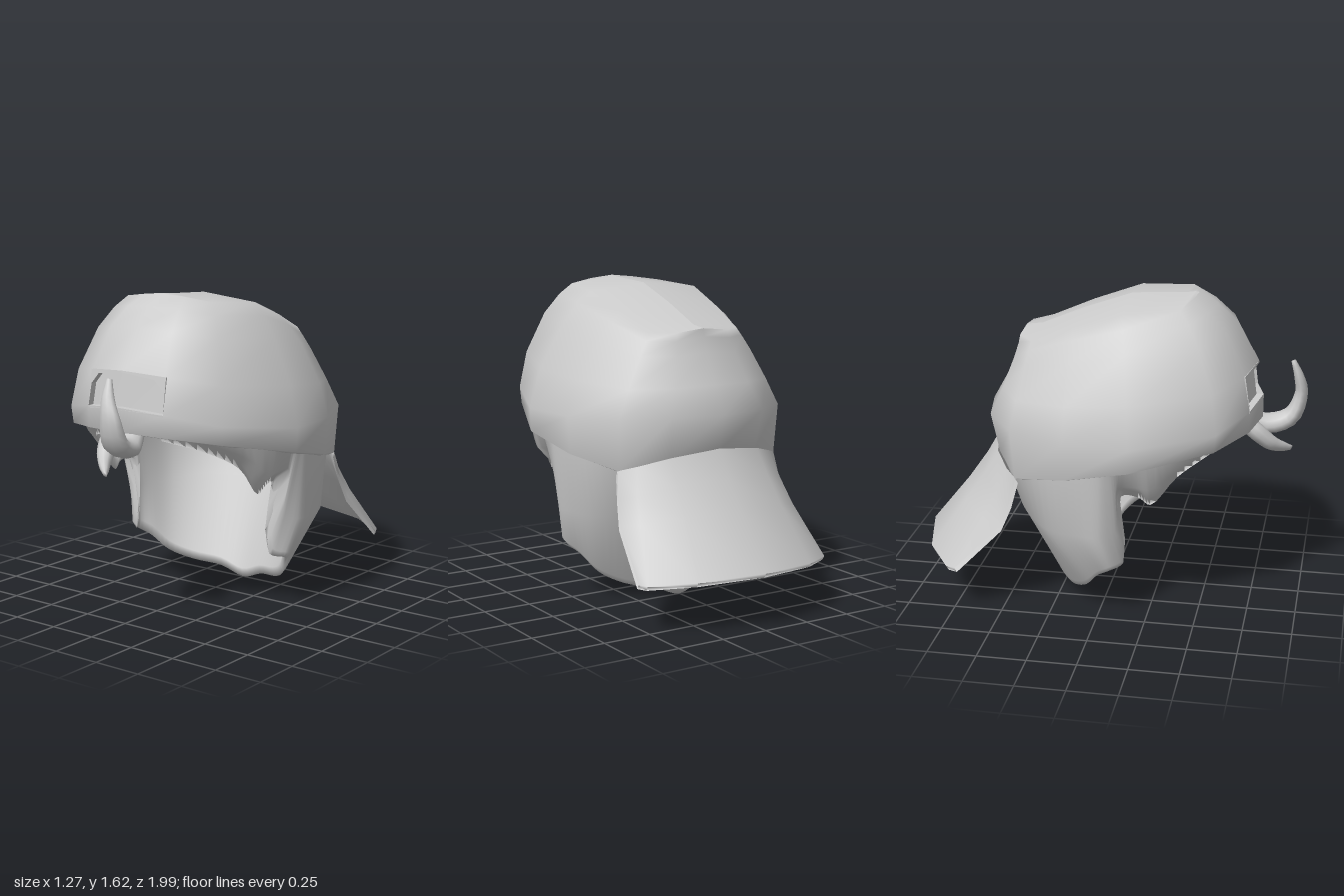
import * as THREE from 'three';

const material = new THREE.MeshStandardMaterial({ color: 0xcccccc, side: THREE.DoubleSide });

// Surface through rows of [x, y, z] points; skip(row, column) leaves a quad open
function loft(rows, closed, skip = () => false) {
  const n = rows[0].length, index = [];
  for (let r = 0; r < rows.length - 1; r++) {
    for (let c = 0; c < (closed ? n : n - 1); c++) {
      if (skip(r, c)) continue;
      const d = (c + 1) % n;
      const a = r * n + c, b = r * n + d, e = a + n, f = b + n;
      index.push(a, e, b, b, e, f);
    }
  }
  const g = new THREE.BufferGeometry();
  g.setAttribute('position', new THREE.Float32BufferAttribute(rows.flat(2), 3));
  g.setIndex(index);
  g.computeVertexNormals();
  return g;
}

const flip = ([x, y, z]) => [-x, y, z];
// Half rows run from the back centre forward on +x
const ringRow = (h) => [...h, ...h.slice(1, -1).reverse().map(flip)];
const openRow = (h) => [...h.slice(1).reverse().map(flip), ...h];
const lerp = THREE.MathUtils.lerp;

// Smooth curve through a row, with extra points between the given ones
function smoothRow(points, per) {
  const curve = new THREE.CatmullRomCurve3(points.map((p) => new THREE.Vector3(...p)));
  return curve.getPoints((points.length - 1) * per).map((p) => p.toArray());
}

function add(parent, name, geometry) {
  const mesh = new THREE.Mesh(geometry, material);
  mesh.name = name;
  parent.add(mesh);
}

function capDome() {
  const rim = [[0, .82, -.6], [.25, .79, -.55], [.47, .735, -.42], [.59, .79, -.15],
    [.63, .86, .18], [.475, .94, .58], [.235, .97, .73], [0, .98, .78]];
  const wide = [[0, 1, -.64], [.27, 1, -.59], [.48, .99, -.44], [.6, .98, -.15],
    [.635, .98, .18], [.48, 1.03, .59], [.235, 1.08, .73], [0, 1.1, .78]];
  const top = [[0, 1.41, -.455], [.15, 1.395, -.455], [.26, 1.395, -.37], [.29, 1.485, -.15],
    [.32, 1.57, .1], [.27, 1.59, .38], [.13, 1.61, .42], [0, 1.62, .44]];
  // Inward slope of the back, side and front at each height
  const levels = [[.34, .42, .17, .09], [.72, .8, .54, .41], [.9, .95, .8, .72]];
  const side = [0, 0, .5, 1, 1, 1.4, 2, 2];
  const middle = levels.map(([h, back, flank, front]) => wide.map((w, i) => {
    const s = side[i];
    const t = s < 1 ? lerp(back, flank, s) : lerp(flank, front, s - 1);
    return [lerp(w[0], top[i][0], t), lerp(w[1], top[i][1], h), lerp(w[2], top[i][2], t)];
  }));
  const lip = rim.map(([x, y, z]) => [x * .95, y - .012, z * .95]);
  const spine = top.map(([x, y, z]) => [0, y + .1 * x, z]);
  const rows = [lip, rim, wide, ...middle, top, spine].map(ringRow);
  return loft(rows, true, (r, c) => r === 2 && (c === 6 || c === 7));
}

// Bend a flat piece onto the front of the cap
function bendToCap(g) {
  const p = g.attributes.position;
  for (let i = 0; i < p.count; i++) {
    const x = p.getX(i), y = p.getY(i);
    p.setZ(i, p.getZ(i) + .78 - .21 * Math.abs(x) - .16 * Math.max(0, y - 1.09));
  }
  g.computeVertexNormals();
  return g;
}

function extrudePiece(points) {
  const shape = new THREE.Shape(points.map(([x, y]) => new THREE.Vector2(x, y)));
  const g = new THREE.ExtrudeGeometry(shape, { depth: .035, bevelEnabled: false });
  return bendToCap(g.translate(0, 0, -.035));
}

function visor() {
  const upper = [
    [[0, .83, -.605], [.26, .8, -.56], [.4, .76, -.48], [.475, .735, -.415]],
    [[0, .69, -.685], [.275, .67, -.635], [.43, .63, -.53], [.49, .6, -.45]],
    [[0, .54, -.79], [.29, .53, -.73], [.46, .5, -.6], [.51, .48, -.5]],
    [[0, .285, -.995], [.335, .27, -.915], [.53, .25, -.78], [.55, .25, -.73]],
  ];
  const lower = upper.map((row) => row.map(([x, y, z]) => [x, y - .022, z + .012])).reverse();
  return loft([...upper, ...lower, upper[0]].map(openRow), false);
}

function hair() {
  // Each column: top x, z, then the middle point, then the low outer point
  const columns = [
    [0, -.58, 0, .5, -.487, 0, .035, -.27],
    [.24, -.53, .2, .5, -.455, .14, .08, -.25],
    [.42, -.42, .37, .5, -.37, .29, .11, -.17],
    [.53, -.25, .5, .48, -.25, .4, .165, -.08],
    [.57, -.1, .55, .48, -.1, .47, .255, 0],
    [.59, .03, .56, .48, .02, .515, .305, .07],
    [.6, .09, .51, .5, .1, .46, .33, .13],
    [.6, .15, .55, .75, .12, .48, .7, .12],
    [.595, .22, .55, .76, .21, .48, .71, .21],
    [.58, .28, .54, .75, .28, .47, .67, .27],
    [.53, .42, .51, .84, .4, .45, .82, .4],
    [.43, .57, .41, .92, .55, .36, .91, .54],
    [.23, .69, .22, .97, .67, .18, .97, .67],
  ];
  const inset = ([x, y, z], k, dy) =>
    [x * k, y + dy, z + (1 - k) * .4 * THREE.MathUtils.clamp(-z / .25, 0, 1)];
  const half = columns.map(([tx, tz, mx, my, mz, lx, ly, lz], i) => {
    const top = [tx, .86 + .208 * tz, tz], mid = [mx, my, mz], low = [lx, ly, lz];
    const k = i > 7 ? .96 : .92;
    const innerTop = [tx * (k - .02), Math.max(.76, my + .03), tz * .94];
    return [top, mid, low, inset(low, k + .03, -.03), inset(low, k, .02), inset(mid, k, .02), innerTop];
  });
  const rows = half[0].map((_, r) => smoothRow(openRow(half.map((column) => column[r])), 4));
  return loft(rows, false);
}

// Tapered lock with an oval section; radii are [across, thickness]
function lock(path, radii) {
  const curve = new THREE.CatmullRomCurve3(path.map((p) => new THREE.Vector3(...p)));
  const last = path.length - 1, steps = 16, sides = 10, rows = [];
  const across = new THREE.Vector3(1, 0, 0);
  for (let i = 0; i <= steps; i++) {
    const u = i / steps, k = Math.min(Math.floor(u * last), last - 1), f = u * last - k;
    const c = curve.getPoint(u), n = curve.getTangent(u).cross(across).normalize();
    const a = lerp(radii[k][0], radii[k + 1][0], f), b = lerp(radii[k][1], radii[k + 1][1], f);
    rows.push(Array.from({ length: sides }, (_, s) => {
      const t = s / sides * Math.PI * 2;
      return c.clone().addScaledVector(across, a * Math.cos(t))
        .addScaledVector(n, b * Math.sin(t)).toArray();
    }));
  }
  const end = curve.getPoint(1).toArray();
  rows.push(Array.from({ length: sides }, () => end));
  return loft(rows, true);
}

export function createModel() {
  const model = new THREE.Group();
  model.name = 'capWithHair';

  const cap = new THREE.Group();
  cap.name = 'cap';
  model.add(cap);
  add(cap, 'capDome', capDome());
  add(cap, 'visor', visor());

  // Arched opening above the strap
  add(cap, 'openingArch', extrudePiece([[-.235, 1.08], [-.235, 1.26], [0, 1.277], [.235, 1.26],
    [.235, 1.08], [.225, 1.19], [.175, 1.245], [0, 1.268], [-.175, 1.245], [-.225, 1.19]]));
  add(cap, 'strapEdge', extrudePiece([[-.235, 1.08], [0, 1.1], [.235, 1.08],
    [.235, 1.07], [0, 1.09], [-.235, 1.07]]));
  const back = new THREE.PlaneGeometry(.47, .2, 2, 1);
  back.translate(0, 1.165, -.033);
  add(cap, 'openingBack', bendToCap(back));

  add(model, 'hair', hair());

  // Locks curling out below the strap
  add(model, 'largeLock', lock(
    [[.03, .97, .68], [.075, .92, .81], [.1, .96, .92], [.11, 1.08, .965], [.085, 1.18, .95], [.07, 1.265, .92]],
    [[.05, .04], [.085, .052], [.078, .046], [.058, .035], [.036, .025], [.014, .012]]));
  add(model, 'smallLock', lock(
    [[-.08, .98, .69], [-.08, .92, .76], [-.05, .855, .83], [0, .82, .89], [.04, .803, .93]],
    [[.055, .04], [.052, .045], [.045, .038], [.03, .025], [.012, .012]]));

  return model;
}
